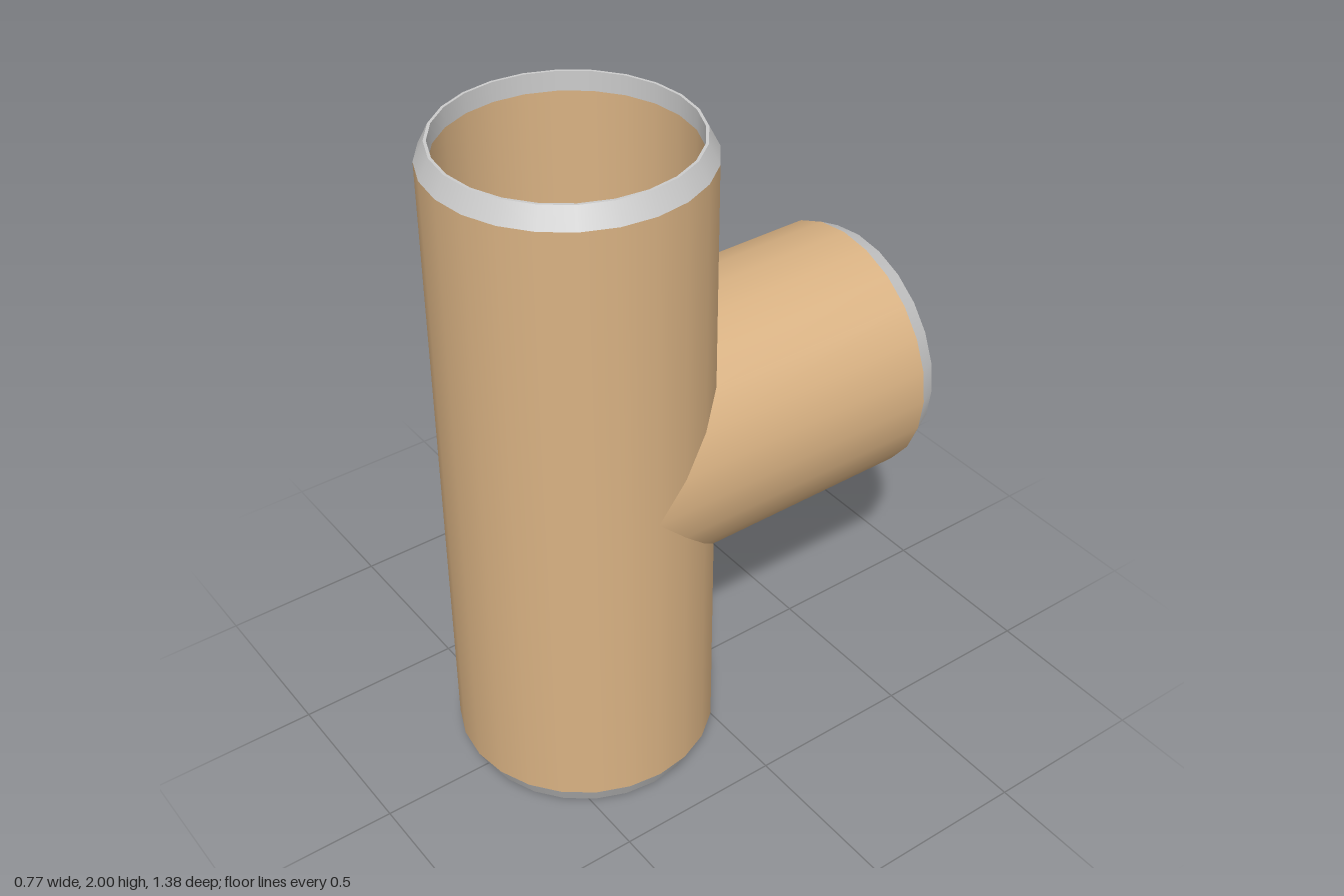
import * as THREE from 'three';
import { mergeGeometries } from 'three/addons/utils/BufferGeometryUtils.js';

const SIDES = 24;
const OUTER = 0.384;   // outside of the pipe
const TIP = 0.355;     // outside of the bevelled rim
const SOCKET = 0.347;  // wide bore near each opening
const CORE = 0.31;     // narrow bore around the junction
const STEP = 0.39;     // distance from the junction to the bore step
const RIM = 0.943;     // distance from the junction to the rim
const AXIS_Z = 0.306;  // axis of the main pipe

// One band of revolution; 'seam' bends the vertices lying on y = 0 onto the junction curve
function band(from, to, seam) {
  const geometry = new THREE.LatheGeometry(
    [new THREE.Vector2(...from), new THREE.Vector2(...to)], SIDES);
  const p = geometry.attributes.position;
  for (let i = 0; i < p.count; i++) {
    if (p.getY(i) === 0) p.setY(i, seam(p.getZ(i)));
  }
  return geometry;
}

// Consecutive bands along a profile of [radius, height], with a crease at every point
function shell(profile, seam) {
  return profile.slice(1).map((point, i) => band(profile[i], point, seam));
}

// A hollow arm with a coloured pipe and a grey bevelled rim
function createArm(name, seam) {
  const arm = new THREE.Group();
  arm.name = name;
  const pipe = new THREE.Mesh(
    mergeGeometries([
      ...shell([[OUTER, 0], [OUTER, RIM]], seam),
      ...shell([[SOCKET, RIM], [SOCKET, STEP], [CORE, STEP], [CORE, 0]], seam),
    ]),
    new THREE.MeshStandardMaterial({ color: 0xd9b283 }));
  pipe.name = name + 'Pipe';
  const rim = new THREE.Mesh(
    mergeGeometries(shell([[OUTER, RIM], [TIP, 1], [SOCKET, 1], [SOCKET, RIM]], seam)),
    new THREE.MeshStandardMaterial({ color: 0xcccccc }));
  rim.name = name + 'Rim';
  arm.add(pipe, rim);
  arm.position.set(0, 1, AXIS_Z);
  return arm;
}

export function createModel() {
  const tee = new THREE.Group();
  tee.name = 'pipeTee';

  // Main pipe: two halves, each mitred on the side facing the branch
  const upper = createArm('upperArm', z => Math.max(0, -z));
  const lower = createArm('lowerArm', z => Math.max(0, z));
  lower.rotation.x = Math.PI;

  // Branch pointing backwards, mitred above and below
  const branch = createArm('branchArm', z => Math.abs(z));
  branch.rotation.x = -Math.PI / 2;

  tee.add(upper, lower, branch);
  return tee;
}
